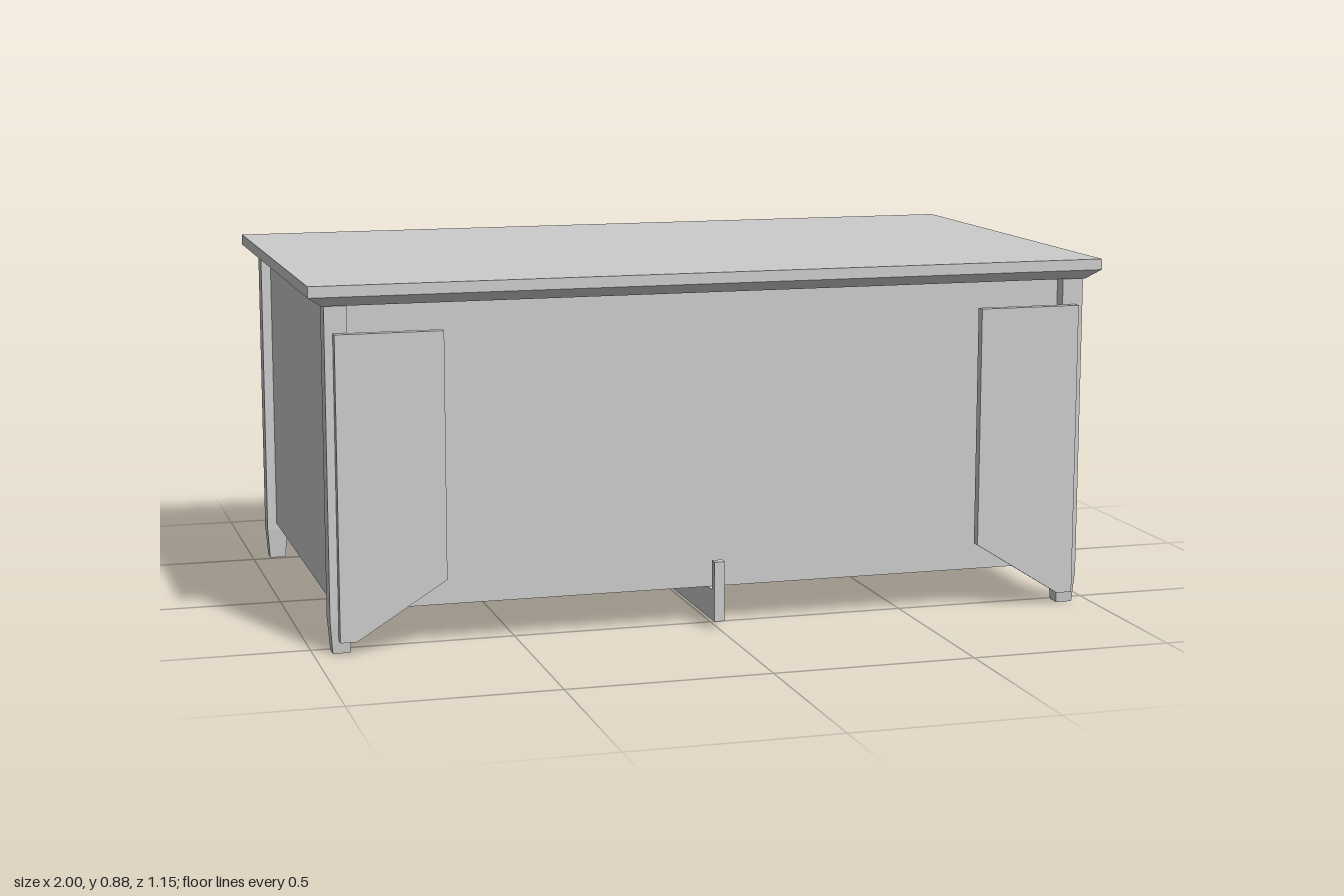
import * as THREE from 'three';

const material = new THREE.MeshStandardMaterial({ color: 0xcccccc, flatShading: true });

export function createModel() {
  const group = new THREE.Group();

  const add = (name, geometry, x = 0, y = 0, z = 0) => {
    const mesh = new THREE.Mesh(geometry, material);
    mesh.name = name;
    mesh.position.set(x, y, z);
    group.add(mesh);
    return mesh;
  };

  // Box standing on y = 0 whose bottom face is scaled to make a taper
  const taperedBox = (w, h, d, bottomW = w, bottomD = d) => {
    const geometry = new THREE.BoxGeometry(w, h, d).translate(0, h / 2, 0);
    const p = geometry.attributes.position;
    for (let i = 0; i < p.count; i++) {
      if (p.getY(i) < h / 2) {
        p.setX(i, p.getX(i) * bottomW / w);
        p.setZ(i, p.getZ(i) * bottomD / d);
      }
    }
    geometry.computeVertexNormals();
    return geometry;
  };

  const extrude = (points, depth) => new THREE.ExtrudeGeometry(
    new THREE.Shape(points.map(([x, y]) => new THREE.Vector2(x, y))),
    { depth, bevelEnabled: false });

  // Top slab with a sloped moulding under its edge
  add('top', taperedBox(2, 0.027, 1.154), 0, 0.858);
  add('topMoulding', taperedBox(2, 0.023, 1.154, 1.93, 1.116), 0, 0.835);

  // Closed cabinet body, recessed behind the legs
  add('body', taperedBox(1.87, 0.739, 1.045), 0, 0.096, -0.0025);

  // Square legs with tapered feet
  for (const sx of [-1, 1]) {
    for (const sz of [-1, 1]) {
      add('leg', taperedBox(0.054, 0.755, 0.05), sx * 0.933, 0.08, sz * 0.529);
      add('foot', taperedBox(0.054, 0.08, 0.05, 0.042, 0.038), sx * 0.933, 0, sz * 0.529);
    }
  }

  // Front side panels with a slanted lower corner
  for (const s of [-1, 1]) {
    const outline = [[0.94, 0.77], [0.68, 0.77], [0.68, 0.17], [0.9, 0.032], [0.94, 0.032]];
    add('frontPanel', extrude(outline.map(([x, y]) => [s * x, y]), 0.024), 0, 0, 0.553);
  }

  // Centre runner below the body with an upright at its front end
  const runner = extrude([
    [0.577, 0.02], [0.577, 0.17], [0.553, 0.17], [0.553, 0.096],
    [-0.207, 0.096], [-0.148, 0.02],
  ], 0.026).rotateY(-Math.PI / 2);
  add('centreRunner', runner, 0.013);

  // Drawer knobs on the back: stem, flared head and chamfered face
  const knob = new THREE.LatheGeometry([
    [0, 0], [0.011, 0], [0.011, 0.018], [0.022, 0.026], [0.022, 0.034], [0.017, 0.039], [0, 0.039],
  ].map(([r, h]) => new THREE.Vector2(r, h)), 10).rotateX(-Math.PI / 2);
  for (const x of [-0.654, -0.286, 0.286, 0.654]) {
    for (const y of [0.218, 0.465, 0.712]) add('knob', knob, x, y, -0.525);
  }

  return group;
}
